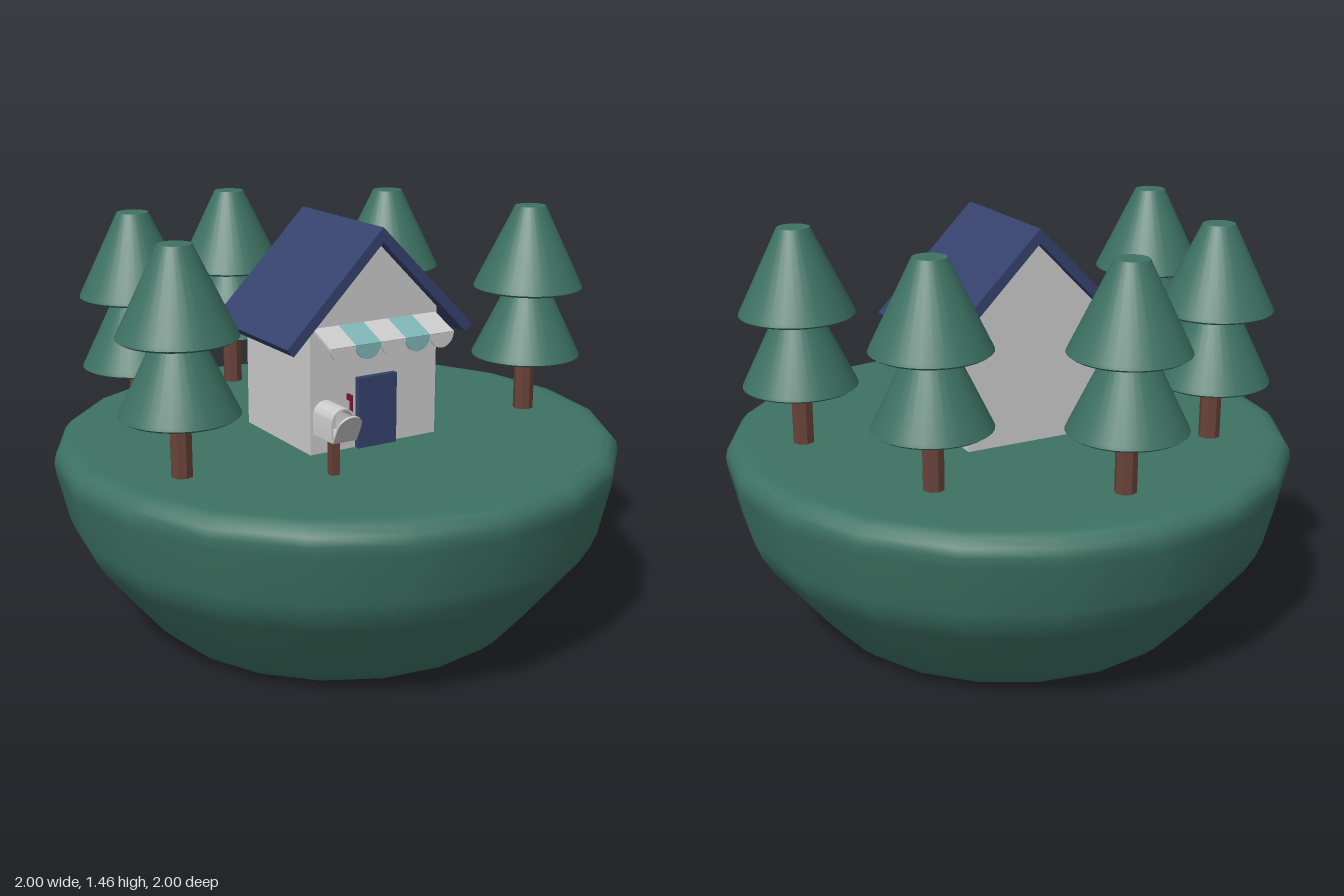
import * as THREE from 'three';
import { toCreasedNormals } from 'three/addons/utils/BufferGeometryUtils.js';

const mat = (color) => new THREE.MeshStandardMaterial({ color, side: THREE.DoubleSide });
const GREEN = mat(0x3d7262), BLUE = mat(0x36426e), BROWN = mat(0x684238);
const GREY = mat(0xcccccc), TEAL = mat(0x7fb5b5), RED = mat(0x7a1238);
const GROUND = 0.7;

function part(parent, name, geometry, material, x = 0, y = 0, z = 0) {
  const mesh = new THREE.Mesh(geometry, material);
  mesh.name = name;
  mesh.position.set(x, y, z);
  parent.add(mesh);
  return mesh;
}

const points = (list) => list.map(([x, y]) => new THREE.Vector2(x, y));
const lathe = (list, sides) => new THREE.LatheGeometry(points(list), sides);
const extrude = (shape, depth) =>
  new THREE.ExtrudeGeometry(shape, { depth, bevelEnabled: false, curveSegments: 10 });

// Upright arch outline: flat base, straight sides, half-round top
function arch(path, half, base, spring) {
  path.moveTo(-half, base);
  path.lineTo(half, base);
  path.lineTo(half, spring);
  path.absarc(0, spring, half, 0, Math.PI, false);
  path.closePath();
  return path;
}

function makeTree(x, z) {
  const tree = new THREE.Group();
  tree.name = 'tree';
  tree.position.set(x, GROUND, z);
  const trunk = new THREE.CylinderGeometry(0.037, 0.037, 0.24, 8).toNonIndexed();
  trunk.computeVertexNormals();
  part(tree, 'trunk', trunk, BROWN, 0, 0.11, 0);
  // Two stacked tiers with a small lip around the base
  const tier = toCreasedNormals(
    lathe([[0, 0], [0.185, 0], [0.197, 0.008], [0.193, 0.018], [0.055, 0.3], [0, 0.3]], 32), 0.5);
  [0.203, 0.455].forEach((y) => part(tree, 'foliageTier', tier, GREEN, 0, y, 0));
  return tree;
}

function makeHouse() {
  const house = new THREE.Group();
  house.name = 'house';
  // Gabled body
  const walls = new THREE.Shape(points([[-0.255, 0.69], [0.25, 0.69], [0.25, 1.16], [0, 1.41], [-0.255, 1.155]]));
  part(house, 'walls', extrude(walls, 0.44), GREY, 0, 0, -0.19);
  // Roof slabs meeting at the ridge
  const roof = new THREE.Shape(points([
    [0, 1.455], [-0.365, 1.09], [-0.341, 1.064], [0, 1.405], [0.341, 1.064], [0.367, 1.09]]));
  part(house, 'roof', extrude(roof, 0.525), BLUE, 0, 0, -0.23);
  part(house, 'door', new THREE.BoxGeometry(0.153, 0.25, 0.03), BLUE, -0.002, 0.825, 0.257);

  // Striped awning: sloping strips, each with a hanging scallop
  const awning = new THREE.Group();
  awning.name = 'awning';
  const width = 0.0975, run = 0.11, drop = 0.045;
  const scallop = new THREE.Shape();
  scallop.moveTo(width / 2, 0);
  scallop.lineTo(-width / 2, 0);
  scallop.absellipse(0, 0, width / 2, 0.05, Math.PI, Math.PI * 2, false);
  const scallopGeometry = extrude(scallop, 0.008);
  const strip = new THREE.BoxGeometry(width, 0.008, Math.hypot(run, drop));
  for (let i = 0; i < 5; i++) {
    const x = (i - 2) * width;
    const material = i % 2 ? TEAL : GREY;
    part(awning, 'awningStrip', strip, material, x, 1.133 - drop / 2, 0.25 + run / 2)
      .rotation.x = Math.atan2(drop, run);
    part(awning, 'awningScallop', scallopGeometry, material, x, 1.09, 0.354);
  }
  house.add(awning);
  return house;
}

function makeMailbox() {
  const mailbox = new THREE.Group();
  mailbox.name = 'mailbox';
  mailbox.position.set(-0.285, GROUND, 0.45);
  part(mailbox, 'mailboxPost', new THREE.BoxGeometry(0.03, 0.14, 0.03), BROWN, 0, 0.065, 0);
  // Hollow arched shell with a solid back
  const shell = arch(new THREE.Shape(), 0.044, 0, 0.063);
  shell.holes.push(arch(new THREE.Path(), 0.038, 0.006, 0.063));
  part(mailbox, 'mailboxShell', toCreasedNormals(extrude(shell, 0.115), 0.6), GREY, 0, 0.13, -0.055);
  const panel = extrude(arch(new THREE.Shape(), 0.044, 0, 0.063), 0.006);
  part(mailbox, 'mailboxBack', panel, GREY, 0, 0.13, -0.056);
  // Lid hinged at the base, hanging open
  part(mailbox, 'mailboxLid', panel, GREY, 0, 0.132, 0.062).rotation.x = 0.48;
  // Signal flag on the left side
  part(mailbox, 'flagPole', new THREE.BoxGeometry(0.007, 0.09, 0.012), RED, 0.048, 0.222, 0.028);
  part(mailbox, 'flag', new THREE.BoxGeometry(0.007, 0.02, 0.03), RED, 0.048, 0.257, 0.019);
  return mailbox;
}

export function createModel() {
  const model = new THREE.Group();
  model.name = 'forestIsland';

  // Bowl-shaped island with softened rims
  const profile = [[0, 0], [0.56, 0], [0.61, 0.008], [0.655, 0.025], [0.7, 0.065], [0.9, 0.315], [0.935, 0.375],
    [0.957, 0.43], [0.995, 0.6], [1, 0.635], [0.993, 0.665], [0.972, 0.69], [0.94, 0.7], [0.9, 0.702], [0, 0.702]];
  part(model, 'island', lathe(profile, 20), GREEN);

  [[-0.04, -0.73], [-0.57, -0.43], [0.49, -0.43], [-0.71, 0.21], [0.71, 0.17]]
    .forEach(([x, z]) => model.add(makeTree(x, z)));
  model.add(makeHouse(), makeMailbox());
  return model;
}
